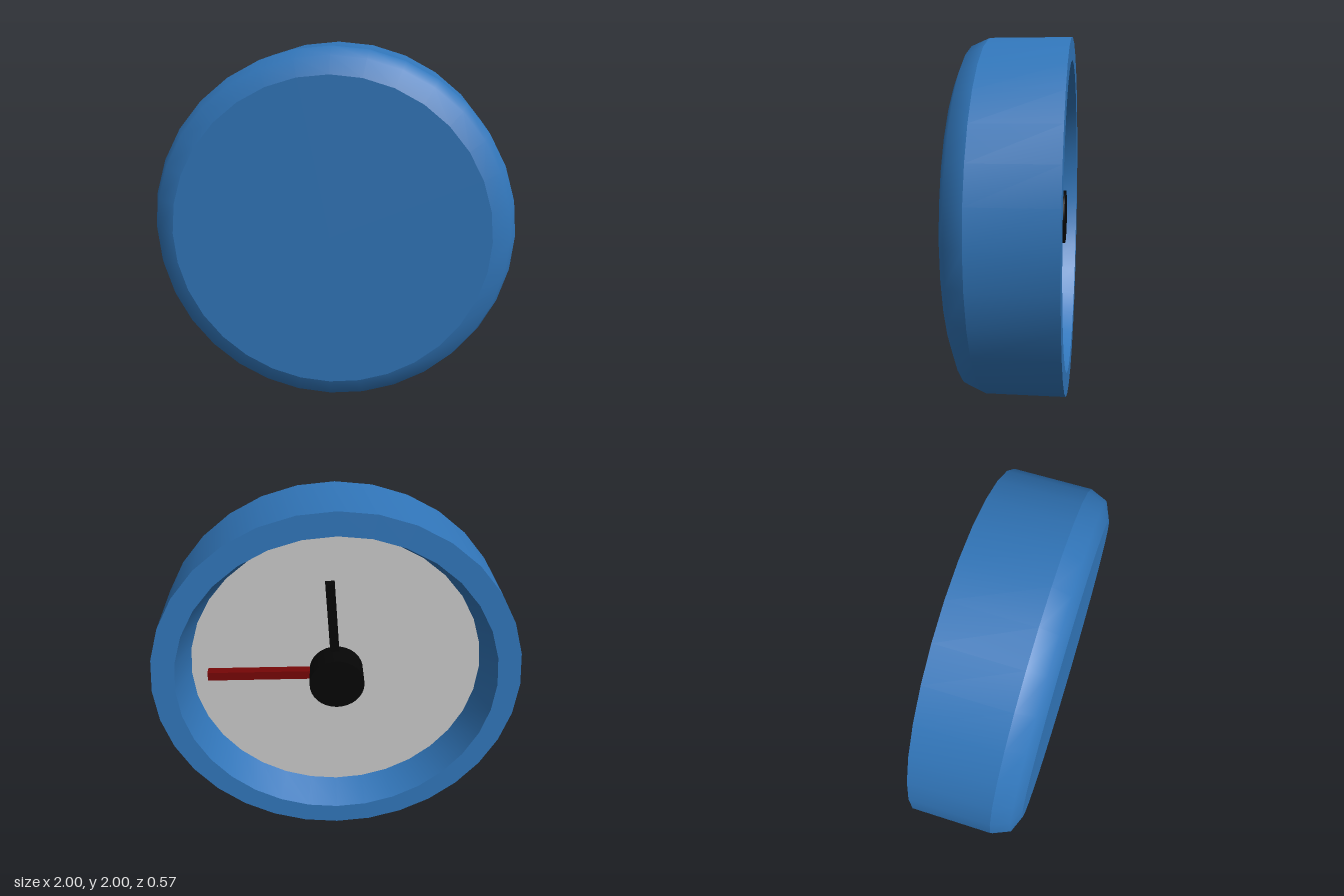
import * as THREE from 'three';
import { toCreasedNormals } from 'three/addons/utils/BufferGeometryUtils.js';

const SIDES = 32;

function material(name, color) {
  const m = new THREE.MeshStandardMaterial({ color });
  m.name = name;
  return m;
}

// Ring of revolution around z from [radius, z] points
function ring(points) {
  const profile = points.map(([r, z]) => new THREE.Vector2(r, z));
  return new THREE.LatheGeometry(profile, SIDES).rotateX(Math.PI / 2);
}

export function createModel() {
  const blue = material('case blue', 0x3176ba);
  const grey = material('dial grey', 0xcacaca);
  const black = material('hand black', 0x060606);
  const red = material('hand red', 0x760606);

  const clock = new THREE.Group();
  clock.name = 'clock';
  clock.position.y = 1;

  function add(name, geometry, mat, z = 0) {
    const mesh = new THREE.Mesh(geometry, mat);
    mesh.name = name;
    mesh.position.z = z;
    clock.add(mesh);
    return mesh;
  }

  // Case wall: tapered inner wall, flat rim and straight outer wall
  const wall = ring([[0.81, -0.1], [0.875, -0.285], [1, -0.285], [1, 0.15]]);
  add('caseWall', toCreasedNormals(wall, 0.9), blue);

  // Rounded edge and flat closed side of the case
  add('caseBevel', ring([[1, 0.15], [0.96, 0.245], [0.865, 0.285]]), blue);
  add('caseFront', new THREE.CircleGeometry(0.865, SIDES), blue, 0.285);

  // Recessed dial facing -z, at the foot of the inner wall
  const dial = new THREE.CircleGeometry(0.81, SIDES).rotateY(Math.PI).rotateZ(Math.PI / 2);
  add('dial', dial, grey, -0.1);

  // Central hub standing on the dial
  const hub = new THREE.CylinderGeometry(0.15, 0.15, 0.155, SIDES).rotateX(Math.PI / 2);
  add('hub', hub, black, -0.178);

  // Hands run outward from the hub; angle is measured from +y towards +x
  function hand(name, length, angle, mat) {
    const bar = new THREE.BoxGeometry(0.05, length, 0.05).translate(0, length / 2, 0);
    add(name, bar, mat, -0.13).rotation.z = -angle;
  }
  hand('hourHand', 0.555, 0.06, black);
  hand('minuteHand', 0.715, Math.PI / 2, red);

  const model = new THREE.Group();
  model.name = 'wallClock';
  model.add(clock);
  return model;
}
